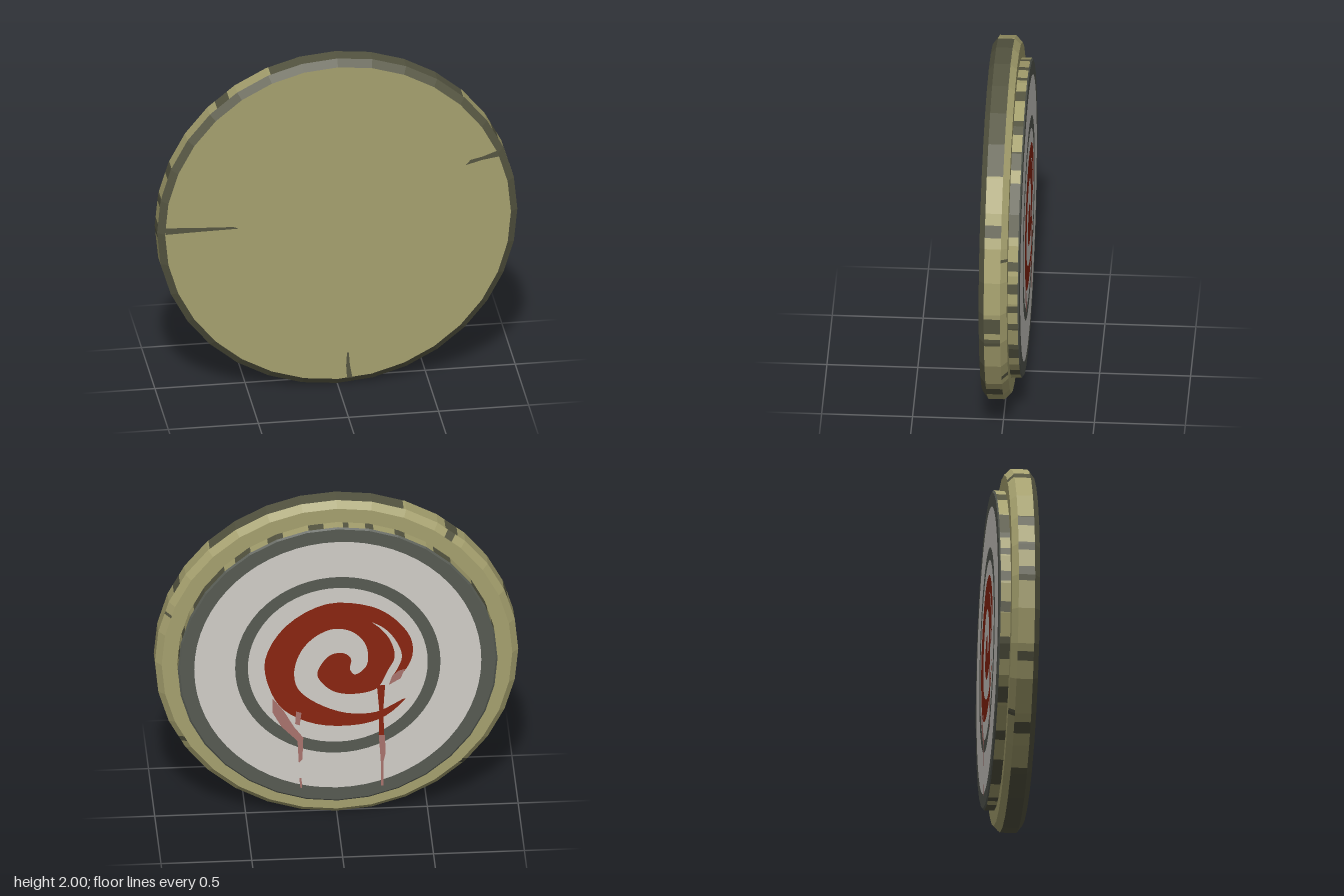
import * as THREE from 'three';

const SIDES = 32, STEP = 360 / SIDES, RAD = Math.PI / 180;

// Radius of a 32-sided polygon at an angle in degrees
function polyRadius(r, deg) {
  const m = ((deg % STEP) + STEP) % STEP;
  return r * Math.cos(STEP / 2 * RAD) / Math.cos((m - STEP / 2) * RAD);
}

// Strip of the rim between two profile points [radius, z], over a list of arcs in degrees
function bandGeometry(front, back, arcs) {
  const pos = [];
  const point = (p, a) => {
    const r = polyRadius(p[0], a);
    return [r * Math.cos(a * RAD), r * Math.sin(a * RAD), p[1]];
  };
  for (const [start, end] of arcs) {
    let a = start;
    while (a < end - 1e-6) {
      const b = Math.min(end, (Math.floor(a / STEP + 1e-6) + 1) * STEP);
      const A = point(front, a), B = point(front, b), C = point(back, b), D = point(back, a);
      pos.push(...A, ...D, ...C, ...A, ...C, ...B);
      a = b;
    }
  }
  const g = new THREE.BufferGeometry();
  g.setAttribute('position', new THREE.Float32BufferAttribute(pos, 3));
  g.computeVertexNormals();
  return g;
}

// Arcs left over between the given sorted arcs, around the full turn
function gaps(arcs) {
  return arcs.map((arc, i) => [arc[1], i + 1 < arcs.length ? arcs[i + 1][0] : arcs[0][0] + 360]);
}

const toPoints = (list) => list.map(([x, y]) => new THREE.Vector2(x, y));

export function createModel() {
  const root = new THREE.Group();
  root.name = 'targetShield';
  const material = (name, color) => {
    const m = new THREE.MeshStandardMaterial({ color });
    m.name = name;
    return m;
  };
  const khaki = material('khaki wood', 0xa5a06e);
  const dark = material('dark rim', 0x555541);
  const slate = material('slate paint', 0x565a52);
  const pale = material('pale grey paint', 0xd0cdc7);
  const red = material('red paint', 0x8a2410);
  const faded = material('faded red paint', 0xa8736d);

  const body = new THREE.Group();
  body.name = 'body';
  body.position.y = 1;
  root.add(body);
  const add = (parent, name, geometry, mat, z = 0) => {
    const mesh = new THREE.Mesh(geometry, mat);
    mesh.name = name;
    mesh.position.z = z;
    parent.add(mesh);
  };
  const patchedBand = (name, front, back, darkArcs) => {
    add(body, name + 'Dark', bandGeometry(front, back, darkArcs), dark);
    add(body, name + 'Light', bandGeometry(front, back, gaps(darkArcs)), khaki);
  };
  const full = [[0, 360]];

  // Large disc: front face, bevels and worn side wall
  add(body, 'frontFace', new THREE.CircleGeometry(0.96, SIDES), khaki, 0.11);
  add(body, 'frontBevel', bandGeometry([0.96, 0.11], [1, 0.08], full), dark);
  patchedBand('sideWall', [1, 0.08], [1, -0.01], [
    [26, 30], [45.6, 111.7], [127, 132], [157, 161], [168, 171], [177, 182], [205, 208],
    [228, 232], [245, 298.4], [315.6, 321], [347.3, 350.2], [352.5, 358.3]]);
  patchedBand('backBevel', [1, -0.01], [0.965, -0.045],
    [[18, 19], [128, 131], [224, 226], [329, 331]]);
  add(body, 'backLedge', bandGeometry([0.965, -0.045], [0.88, -0.045], full), khaki);

  // Smaller disc on the back
  patchedBand('backDiscWall', [0.88, -0.045], [0.88, -0.1], [
    [4, 8], [13, 16.5], [25.6, 45], [50, 57], [64, 70], [79.5, 85], [92, 94], [100, 103],
    [111, 115], [127, 135], [147, 160], [165, 168], [175, 179], [187, 191], [200, 208],
    [218, 224], [235, 239], [248, 262], [272, 276], [280, 295], [302, 305], [314, 320],
    [331, 340], [348, 351], [356, 359]]);
  add(body, 'backDiscBevel', bandGeometry([0.88, -0.1], [0.87, -0.107], full), slate);

  // Cracks on the front face
  const cracks = [
    [[-0.959, 1.04], [-0.959, 1.0], [-0.75, 1.005], [-0.55, 1.008], [-0.58, 1.02], [-0.75, 1.028]],
    [[0.71, 1.305], [0.8, 1.33], [0.895, 1.345], [0.882, 1.38], [0.8, 1.35], [0.735, 1.335]],
    [[0.05, 0.2], [0.045, 0.12], [0.05, 0.043], [0.08, 0.043], [0.066, 0.12], [0.06, 0.2]]];
  for (const c of cracks) {
    const shape = new THREE.Shape(toPoints(c.map(([x, y]) => [x, y - 1])));
    add(body, 'crack', new THREE.ShapeGeometry(shape), dark, 0.111);
  }

  // Painted target, turned to face the back
  const target = new THREE.Group();
  target.name = 'target';
  target.rotation.y = Math.PI;
  body.add(target);
  add(target, 'outerRing', new THREE.CircleGeometry(0.87, SIDES), slate, 0.107);
  add(target, 'paleField', new THREE.CircleGeometry(0.79, 64), pale, 0.1085);
  add(target, 'middleRing', new THREE.RingGeometry(0.495, 0.565, 64), slate, 0.11);

  // Spiral outline: round the outside, back along the inner edge, into the hook and out
  const outline = [
    [0.41, 0.043], [0.4, 0.16], [0.31, 0.287], [0.18, 0.37], [-0.06, 0.395], [-0.287, 0.26],
    [-0.4, 0.05], [-0.38, -0.125], [-0.3, -0.275], [-0.12, -0.375], [0.113, -0.388],
    [0.26, -0.34], [0.373, -0.228], [0.213, -0.31], [0.047, -0.31], [-0.12, -0.238],
    [-0.22, -0.144], [-0.24, -0.03], [-0.2, 0.1], [-0.12, 0.19], [-0.02, 0.233], [0.08, 0.21],
    [0.147, 0.138], [0.167, 0.05], [0.153, -0.02], [0.093, -0.066], [0.067, -0.03],
    [0.073, 0.036], [0.033, 0.074], [-0.033, 0.069], [-0.087, 0.014], [-0.113, -0.06],
    [-0.08, -0.12], [-0.02, -0.17], [0.08, -0.19], [0.213, -0.16], [0.273, -0.05],
    [0.313, 0.04], [0.287, 0.15], [0.233, 0.226], [0.187, 0.267], [0.26, 0.222],
    [0.327, 0.13], [0.353, 0.04], [0.327, -0.04], [0.3, -0.09], [0.36, -0.06]];
  const curve = new THREE.CatmullRomCurve3(
    outline.map(([x, y]) => new THREE.Vector3(x, y, 0)), true, 'centripetal');
  const spiral = new THREE.Shape(curve.getPoints(188).slice(0, -1).map(p => new THREE.Vector2(p.x, p.y)));
  add(target, 'spiral', new THREE.ShapeGeometry(spiral), red, 0.112);

  // Paint drips
  const drips = [
    [red, [[0.215, -0.14], [0.26, -0.14], [0.25, -0.3], [0.255, -0.46], [0.225, -0.46], [0.228, -0.3]]],
    [faded, [[0.225, -0.46], [0.26, -0.46], [0.262, -0.58], [0.25, -0.64], [0.252, -0.785], [0.238, -0.785], [0.236, -0.62]]],
    [faded, [[-0.36, -0.2], [-0.3, -0.28], [-0.24, -0.39], [-0.19, -0.46], [-0.195, -0.6], [-0.215, -0.62], [-0.222, -0.48], [-0.31, -0.385], [-0.36, -0.29]]],
    [faded, [[-0.23, -0.29], [-0.2, -0.3], [-0.21, -0.38], [-0.235, -0.37]]],
    [faded, [[-0.212, -0.72], [-0.2, -0.72], [-0.196, -0.785], [-0.206, -0.785]]],
    [faded, [[0.37, -0.04], [0.345, -0.1], [0.28, -0.14], [0.3, -0.08], [0.335, -0.05]]]];
  for (const [mat, pts] of drips) {
    add(target, 'drip', new THREE.ShapeGeometry(new THREE.Shape(toPoints(pts))), mat, 0.1128);
  }
  return root;
}
